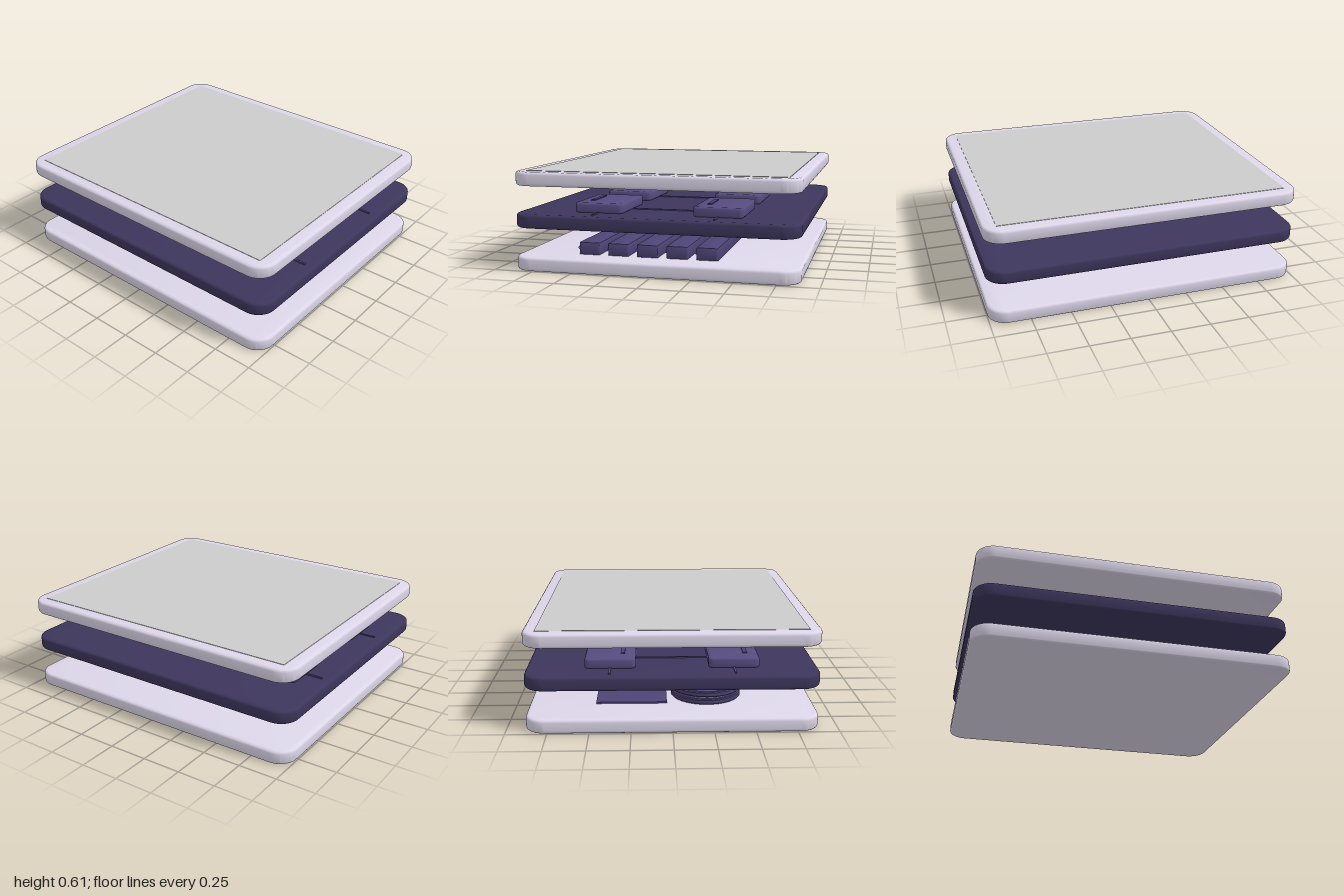
import * as THREE from 'three';
import { toCreasedNormals } from 'three/addons/utils/BufferGeometryUtils.js';

const mat = (color) => new THREE.MeshStandardMaterial({ color });
const M = {
  shell: mat(0xdcd6e9), core: mat(0x3d365c), chip: mat(0x564c80), rack: mat(0x4e4577),
  disc: mat(0x4b436e), glow: mat(0x9a8ae0), violet: mat(0x8468e8), green: mat(0x22b55e), panel: mat(0xcccccc),
};

// Block with rounded plan corners and softened edges, bottom at y = 0
function roundedSlab(w, h, d, r, bevel, steps = 4) {
  const x = w / 2 - bevel, y = d / 2 - bevel, c = r - bevel;
  const s = new THREE.Shape();
  s.moveTo(-x + c, -y);
  s.lineTo(x - c, -y);
  s.absarc(x - c, -y + c, c, -Math.PI / 2, 0);
  s.lineTo(x, y - c);
  s.absarc(x - c, y - c, c, 0, Math.PI / 2);
  s.lineTo(-x + c, y);
  s.absarc(-x + c, y - c, c, Math.PI / 2, Math.PI);
  s.lineTo(-x, -y + c);
  s.absarc(-x + c, -y + c, c, Math.PI, Math.PI * 1.5);
  const g = new THREE.ExtrudeGeometry(s, {
    depth: h - 2 * bevel, bevelThickness: bevel, bevelSize: bevel, bevelSegments: steps, curveSegments: 10,
  });
  g.translate(0, 0, bevel);
  g.rotateX(-Math.PI / 2);
  return toCreasedNormals(g, 0.6);
}

function add(parent, name, geometry, material, x = 0, y = 0, z = 0) {
  const mesh = new THREE.Mesh(geometry, material);
  mesh.name = name;
  mesh.position.set(x, y, z);
  parent.add(mesh);
  return mesh;
}

const box = (w, h, d) => new THREE.BoxGeometry(w, h, d);

function group(parent, name) {
  const g = new THREE.Group();
  g.name = name;
  parent.add(g);
  return g;
}

export function createModel() {
  const model = new THREE.Group();
  model.name = 'layeredPlatform';
  const slab = roundedSlab(2, 0.087, 1.77, 0.12, 0.018);

  // Bottom layer: storage stack and server racks
  const bottom = group(model, 'bottomLayer');
  add(bottom, 'bottomSlab', slab, M.shell);

  const storage = group(bottom, 'storageStack');
  storage.position.set(-0.535, 0, 0.222);
  add(storage, 'stackCore', new THREE.CylinderGeometry(0.19, 0.19, 0.11, 48), M.disc, 0, 0.142, 0);
  const discProfile = [[0, -0.017], [0.216, -0.017], [0.222, -0.011], [0.222, 0.011], [0.216, 0.017], [0, 0.017]]
    .map(([x, y]) => new THREE.Vector2(x, y));
  const disc = toCreasedNormals(new THREE.LatheGeometry(discProfile, 48), 0.5);
  for (let i = 0; i < 3; i++) {
    add(storage, 'storageDisc', disc, M.disc, 0, 0.104 + i * 0.048, 0);
    if (i < 2) {
      const ring = add(storage, 'glowRing', new THREE.TorusGeometry(0.198, 0.008, 8, 48), M.glow, 0, 0.128 + i * 0.048, 0);
      ring.rotation.x = Math.PI / 2;
    }
  }

  const rackBody = roundedSlab(0.965, 0.078, 0.134, 0.01, 0.005, 2);
  const led = new THREE.SphereGeometry(0.011, 12, 8);
  [0.44, 0.253, 0.066, -0.122, -0.309].forEach((z) => {
    const rack = group(bottom, 'serverRack');
    rack.position.set(0.342, 0.086, z);
    add(rack, 'rackBody', rackBody, M.rack);
    [M.green, M.violet, M.violet].forEach((m, i) =>
      add(rack, 'statusLight', led, m, 0.375 + i * 0.043, 0.041, 0.07));
  });

  // Low pad behind the storage stack
  add(bottom, 'basePad', box(0.44, 0.012, 0.44), M.rack, -0.5, 0.091, -0.25);
  add(bottom, 'linkStrip', box(0.3, 0.01, 0.03), M.rack, -0.22, 0.09, 0.222);

  // Middle layer: grid of modules joined by thin traces
  const middle = group(model, 'middleLayer');
  middle.position.y = 0.265;
  add(middle, 'middleSlab', slab, M.core);
  const chip = roundedSlab(0.444, 0.062, 0.31, 0.03, 0.012, 3);
  const xs = [-0.613, 0, 0.613], zs = [-0.375, 0.375];
  for (const z of zs) {
    add(middle, 'crossTrace', box(1.88, 0.008, 0.012), M.chip, 0, 0.09, z);
    for (const x of xs) {
      add(middle, 'module', chip, M.chip, x, 0.086, z);
      add(middle, 'moduleBar', box(0.22, 0.008, 0.026), M.rack, x, 0.15, z + 0.075);
    }
  }
  for (const x of xs) add(middle, 'lengthTrace', box(0.012, 0.008, 0.75), M.chip, x, 0.09, 0);

  // Top layer: cover with a flat panel
  const top = group(model, 'topLayer');
  top.position.y = 0.525;
  add(top, 'topSlab', slab, M.shell);
  add(top, 'topPanel', box(1.84, 0.004, 1.62), M.panel, 0, 0.0875, 0);
  return model;
}
